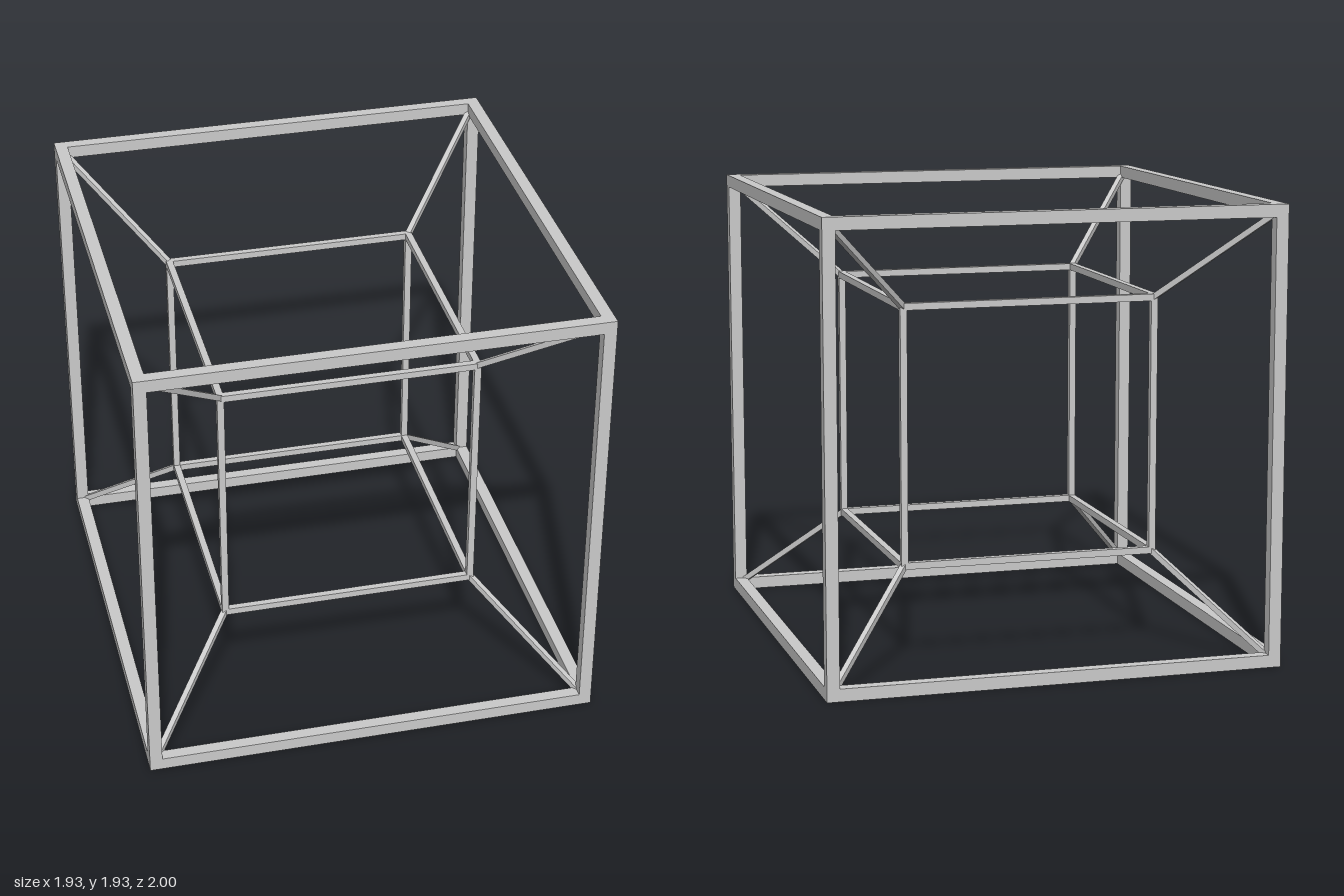
import * as THREE from 'three';

const material = new THREE.MeshStandardMaterial({ color: 0xcccccc, flatShading: true });
const AXES = ['x', 'y', 'z'];
const SIGNS = [-1, 1];

// Twelve square bars along the edges of a box with the given outer size
function edgeFrame(name, size, bar) {
  const frame = new THREE.Group();
  frame.name = name;
  AXES.forEach((axis, i) => {
    const b = AXES[(i + 1) % 3], c = AXES[(i + 2) % 3];
    // posts run full height, x rails fit between them, z rails between those
    const length = size[axis] - (axis === 'y' ? 0 : 2 * bar);
    const dims = new THREE.Vector3(bar, bar, bar);
    dims[axis] = length;
    const geometry = new THREE.BoxGeometry(dims.x, dims.y, dims.z);
    for (const sb of SIGNS) for (const sc of SIGNS) {
      const mesh = new THREE.Mesh(geometry, material);
      mesh.name = name + { x: 'CrossRail', y: 'Post', z: 'SideRail' }[axis];
      mesh.position[b] = sb * (size[b] - bar) / 2;
      mesh.position[c] = sc * (size[c] - bar) / 2;
      frame.add(mesh);
    }
  });
  return frame;
}

// Thin square strut between two points
function strut(from, to, thickness) {
  const mesh = new THREE.Mesh(
    new THREE.BoxGeometry(thickness, thickness, from.distanceTo(to)), material);
  mesh.name = 'cornerStrut';
  mesh.position.copy(from).add(to).multiplyScalar(0.5);
  mesh.lookAt(to);
  return mesh;
}

export function createModel() {
  const model = new THREE.Group();
  model.name = 'nestedCubeFrame';
  const centreY = 0.965;

  // Large outer cube
  const outer = edgeFrame('outerFrame', new THREE.Vector3(1.93, 1.93, 2), 0.053);
  outer.position.y = centreY;
  model.add(outer);

  // Small inner cube, a touch off centre
  const inner = edgeFrame('innerFrame', new THREE.Vector3(1.11, 1.11, 1.14), 0.029);
  inner.position.set(-0.004, 0.971, -0.008);
  model.add(inner);

  // Diagonal struts joining matching corners
  const struts = new THREE.Group();
  struts.name = 'cornerStruts';
  for (const x of SIGNS) for (const y of SIGNS) for (const z of SIGNS) {
    const a = new THREE.Vector3(x * 0.54, y * 0.54, z * 0.555).add(inner.position);
    const b = new THREE.Vector3(x * 0.925, centreY + y * 0.925, z * 0.96);
    struts.add(strut(a, b, 0.024));
  }
  model.add(struts);
  return model;
}
